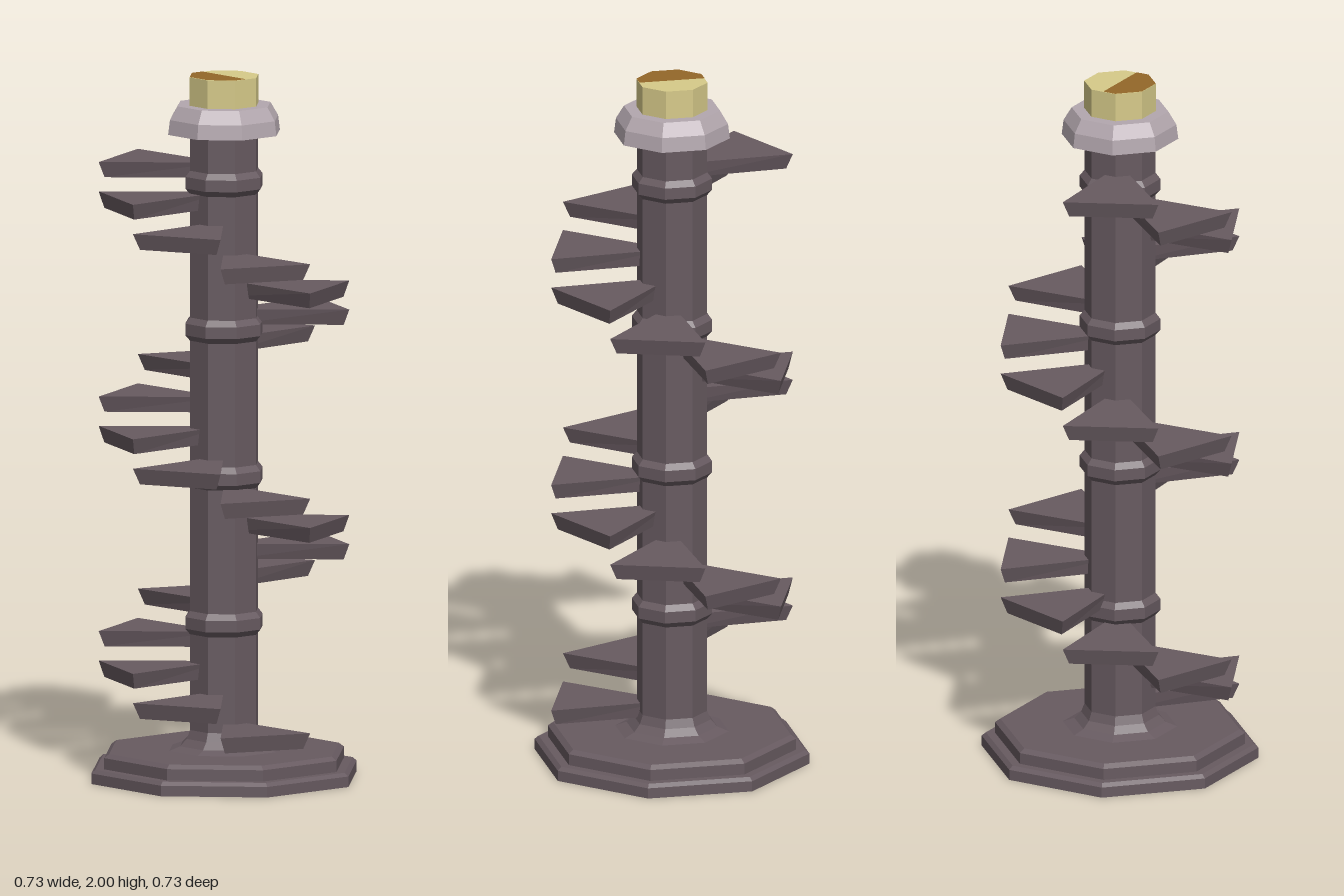
import * as THREE from 'three';

const material = (name, color) => {
  const m = new THREE.MeshStandardMaterial({ color, flatShading: true });
  m.name = name;
  return m;
};

// Flat-sided octagonal solid; profile is [distance to flat, height], bottom to top
function octagon(name, profile, mat) {
  const k = 1 / Math.cos(Math.PI / 8);
  const points = profile.map(([r, y]) => new THREE.Vector2(r * k, y));
  const mesh = new THREE.Mesh(new THREE.LatheGeometry(points, 8, Math.PI / 8), mat);
  mesh.name = name;
  return mesh;
}

// Triangular tread with an underside that is smaller than its top
function treadGeometry() {
  const spread = Math.PI / 4;
  const at = (r, a, y) => [r * Math.cos(a), y, r * Math.sin(a)];
  const corners = [
    at(0, 0, 0), at(0.353, 0, 0), at(0.353, spread, 0),
    at(0.02, spread / 2, -0.045), at(0.337, 0.035, -0.045), at(0.337, spread - 0.035, -0.045),
  ];
  const faces = [0, 2, 1, 3, 4, 5];
  for (let i = 0; i < 3; i++) {
    const j = (i + 1) % 3;
    faces.push(i, j, j + 3, i, j + 3, i + 3);
  }
  const indexed = new THREE.BufferGeometry();
  indexed.setAttribute('position', new THREE.Float32BufferAttribute(corners.flat(), 3));
  indexed.setIndex(faces);
  const geometry = indexed.toNonIndexed();
  geometry.computeVertexNormals();
  return geometry;
}

export function createModel() {
  const model = new THREE.Group();
  model.name = 'spiralStairTower';
  const stone = material('dark stone', 0x675a60);
  const paleStone = material('pale stone', 0xb3a7ae);
  const yellow = material('pale yellow', 0xd6ca89);
  const brown = material('brown', 0x946729);

  // Two stepped plinth slabs
  model.add(octagon('base', [
    [0, 0], [0.363, 0], [0.363, 0.03], [0.352, 0.04],
    [0.328, 0.04], [0.328, 0.072], [0.314, 0.083], [0, 0.083],
  ], stone));

  // Column with flared foot and four rings
  const column = [[0.15, 0.083], [0.12, 0.095], [0.102, 0.115], [0.093, 0.14]];
  for (let i = 0; i < 4; i++) {
    const y = 0.447 + i * 0.418;
    column.push([0.093, y - 0.034], [0.106, y - 0.018], [0.106, y + 0.015], [0.093, y + 0.032]);
  }
  column.push([0.093, 1.85]);
  model.add(octagon('column', column, stone));

  // Spiral of treads, eight to a turn
  const tread = treadGeometry();
  const stairs = new THREE.Group();
  stairs.name = 'stairs';
  for (let i = 0; i < 20; i++) {
    const step = new THREE.Mesh(tread, stone);
    step.name = 'step';
    step.position.y = 0.165 + i * 0.0835;
    step.rotation.y = 0.05 - i * Math.PI / 4;
    stairs.add(step);
  }
  model.add(stairs);

  // Collar and cap
  model.add(octagon('collar', [
    [0, 1.838], [0.153, 1.838], [0.148, 1.88], [0.127, 1.918], [0, 1.918],
  ], paleStone));
  model.add(octagon('cap', [[0.094, 1.918], [0.094, 1.999], [0, 1.999]], yellow));

  // Brown front half of the cap's top
  const r = 0.094, c = r * Math.tan(Math.PI / 8);
  const half = new THREE.Shape([[-r, 0], [-r, -c], [-c, -r], [c, -r], [r, -c], [r, 0]]
    .map(([x, y]) => new THREE.Vector2(x, y)));
  const inlay = new THREE.Mesh(new THREE.ShapeGeometry(half), brown);
  inlay.name = 'capFrontHalf';
  inlay.rotation.x = -Math.PI / 2;
  inlay.position.y = 2;
  model.add(inlay);

  return model;
}
